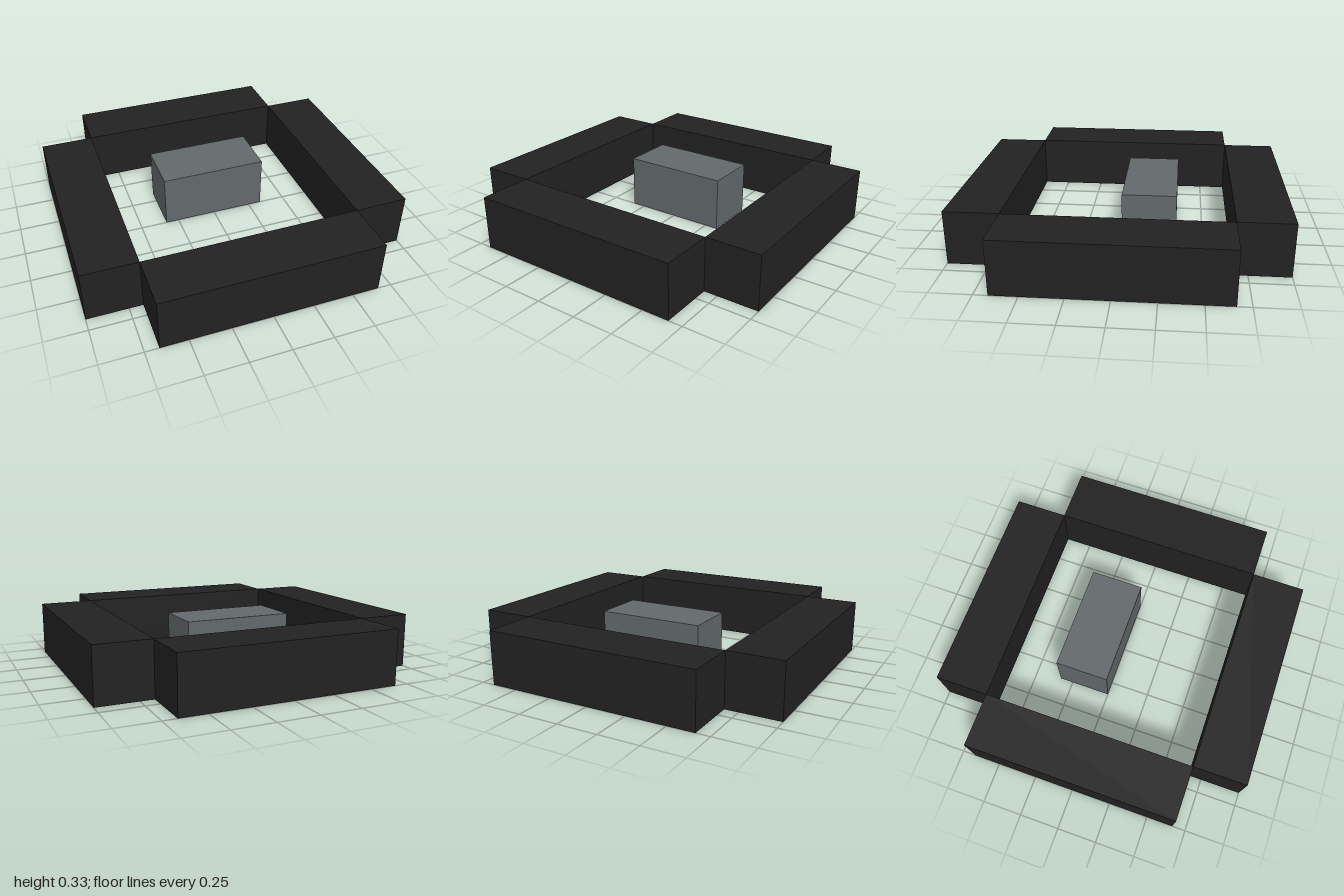
import * as THREE from 'three';

const T = 1 / 3; // bar thickness and height

// Box standing on y = 0, hollow and open underneath
function openBox(width, depth) {
  const geometry = new THREE.BoxGeometry(width, T, depth);
  const index = Array.from(geometry.index.array);
  index.splice(18, 6); // drop the bottom face
  geometry.setIndex(index);
  geometry.clearGroups();
  return geometry.translate(0, T / 2, 0);
}

export function createModel() {
  const model = new THREE.Group();
  model.name = 'frameWithBlock';

  const black = new THREE.MeshStandardMaterial({ name: 'black', color: 0x222222, side: THREE.DoubleSide });
  const grey = new THREE.MeshStandardMaterial({ name: 'slate grey', color: 0x636a6c, side: THREE.DoubleSide });

  function add(name, width, depth, x, z, material) {
    const mesh = new THREE.Mesh(openBox(width, depth), material);
    mesh.name = name;
    mesh.position.set(x, 0, z);
    model.add(mesh);
  }

  // Four bars meeting only at their inner corners
  for (const s of [1, -1]) {
    add(s > 0 ? 'frontBar' : 'backBar', 4 * T, T, 0, s * 2.5 * T, black);
    add(s > 0 ? 'leftBar' : 'rightBar', T, 4 * T, s * 2.5 * T, 0, black);
  }

  // Block inside the frame, set behind the middle
  add('centreBlock', 2 * T, T, 0, -T / 2, grey);

  return model;
}
